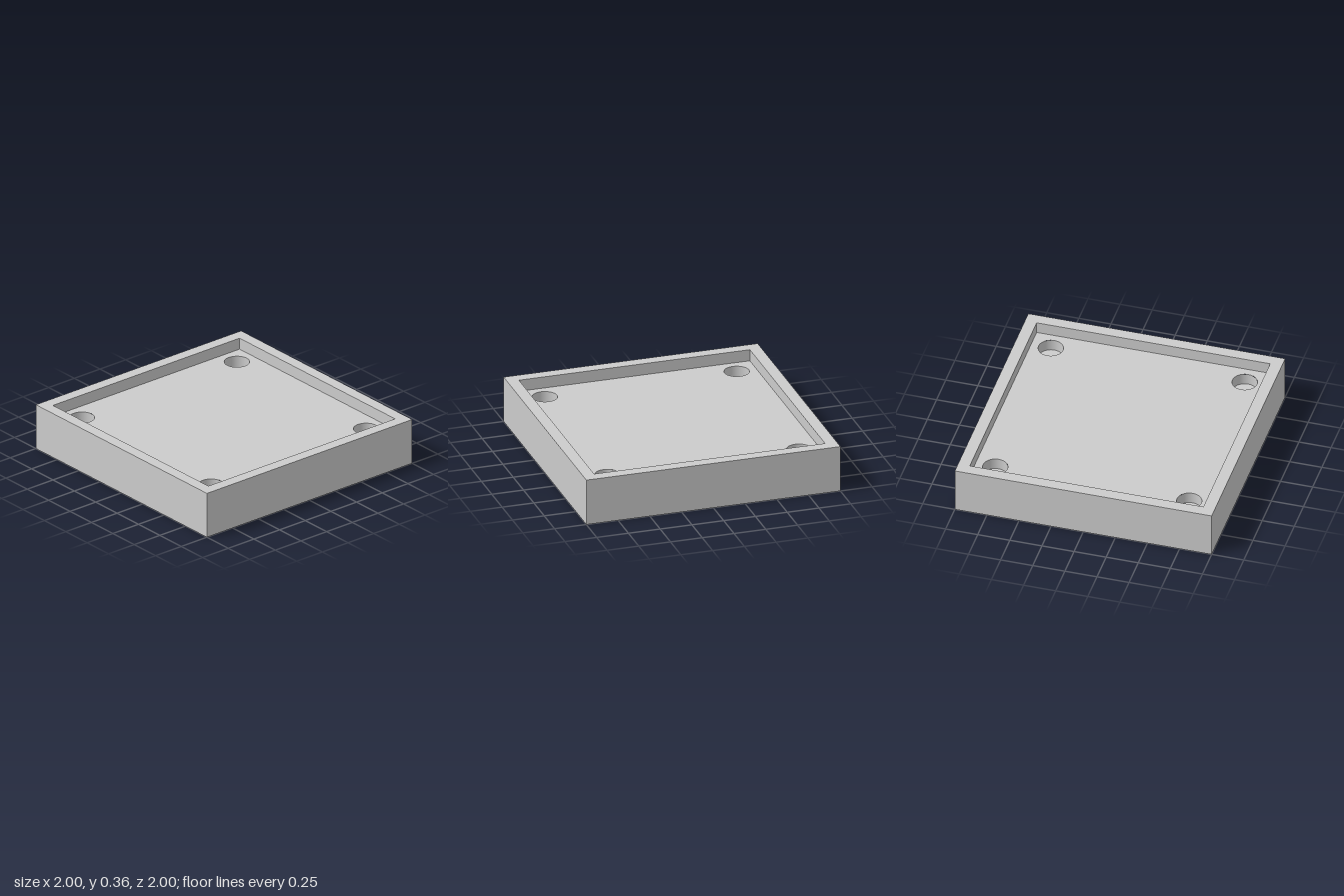
import * as THREE from 'three';

const HEIGHT = 4 / 11, RIM = 1 / 11;   // overall height, rim width and recess depth
const INNER = 1 - RIM;                 // half width of both recesses
const FLOOR = HEIGHT - RIM;            // upper floor level
const HOLE_R = 0.095, HOLE_POS = 0.755, HOLE_DEPTH = 0.09;

export function createModel() {
  const model = new THREE.Group();
  model.name = 'squareTray';
  const mat = new THREE.MeshStandardMaterial({ color: 0xcccccc, flatShading: true });
  const smooth = new THREE.MeshStandardMaterial({ color: 0xcccccc, side: THREE.BackSide });

  const add = (name, geometry, material, x = 0, y = 0, z = 0) => {
    const mesh = new THREE.Mesh(geometry, material);
    mesh.name = name;
    mesh.position.set(x, y, z);
    model.add(mesh);
  };

  // Square shell: underside recess, outer walls, top rim and inner walls
  const profile = [
    [0, RIM], [INNER, RIM], [INNER, 0], [1, 0],
    [1, HEIGHT], [INNER, HEIGHT], [INNER, FLOOR],
  ].map(([r, y]) => new THREE.Vector2(r * Math.SQRT2, y));
  const shell = new THREE.LatheGeometry(profile, 4).rotateY(Math.PI / 4).toNonIndexed();
  shell.computeVertexNormals();
  add('shell', shell, mat);

  // Tray floor, pierced by a round socket in each corner
  const floor = new THREE.Shape([
    new THREE.Vector2(-INNER, -INNER), new THREE.Vector2(INNER, -INNER),
    new THREE.Vector2(INNER, INNER), new THREE.Vector2(-INNER, INNER),
  ]);
  for (const sx of [-1, 1]) {
    for (const sz of [-1, 1]) {
      const x = sx * HOLE_POS, z = sz * HOLE_POS;
      floor.holes.push(new THREE.Path().absarc(x, -z, HOLE_R, 0, Math.PI * 2, true));
      // Blind socket: wall seen from inside, and its flat bottom
      add('socketWall', new THREE.CylinderGeometry(HOLE_R, HOLE_R, HOLE_DEPTH, 48, 1, true),
        smooth, x, FLOOR - HOLE_DEPTH / 2, z);
      add('socketBottom', new THREE.CircleGeometry(HOLE_R, 48).rotateX(-Math.PI / 2),
        mat, x, FLOOR - HOLE_DEPTH, z);
    }
  }
  add('trayFloor', new THREE.ShapeGeometry(floor, 48).rotateX(-Math.PI / 2), mat, 0, FLOOR, 0);

  return model;
}
